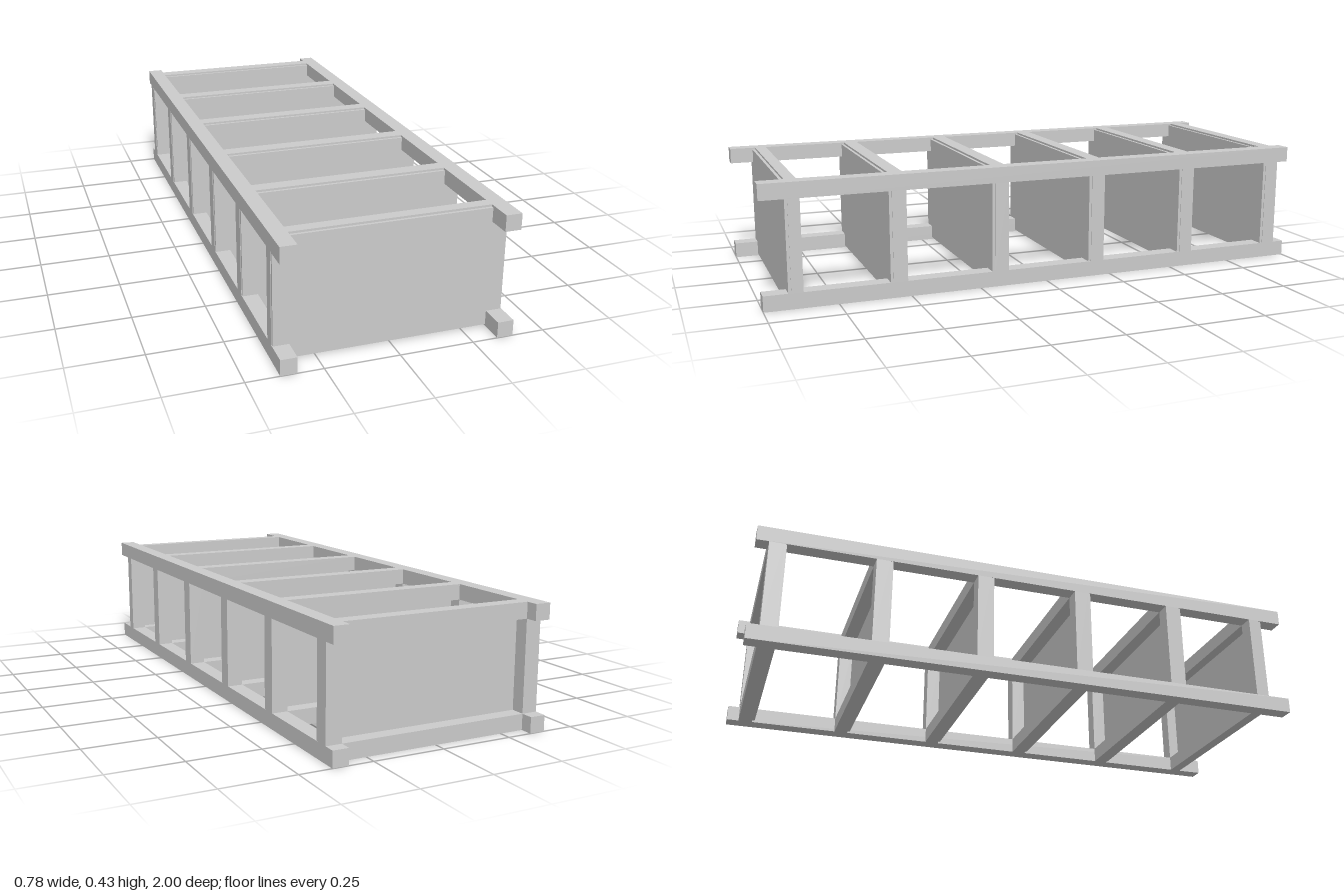
import * as THREE from 'three';

const W = 0.78, H = 0.425, T = 0.055;

export function createModel() {
  const model = new THREE.Group();
  model.name = 'shelfRack';
  const material = new THREE.MeshStandardMaterial({ color: 0xcccccc, flatShading: true });

  function box(parent, name, w, h, d, x, y, z) {
    const mesh = new THREE.Mesh(new THREE.BoxGeometry(w, h, d), material);
    mesh.name = name;
    mesh.position.set(x, y, z);
    parent.add(mesh);
  }

  // four long corner rails
  for (const sx of [-1, 1]) {
    for (const y of [T / 2, H - T / 2]) {
      box(model, 'longRail', T, T, 2, sx * (W - T) / 2, y, 0);
    }
  }

  // six framed shelves: front and back z of each
  const shelves = [
    [0.917, 0.867], [0.573, 0.513], [0.207, 0.146],
    [-0.163, -0.223], [-0.53, -0.59], [-0.897, -0.957],
  ];
  const board = 0.01;
  for (const [front, back] of shelves) {
    const shelf = new THREE.Group();
    shelf.name = 'shelf';
    model.add(shelf);
    const depth = front - board - back;
    const z = back + depth / 2;

    // thin board on the front of the frame
    box(shelf, 'shelfBoard', W - 0.004, H - 0.014, board, 0, H / 2, front - board / 2);
    // cross bars between the rails
    for (const y of [T / 2, H - T / 2]) {
      box(shelf, 'crossBar', W - 2 * T, T, depth, 0, y, z);
    }
    // uprights between lower and upper rails
    for (const sx of [-1, 1]) {
      box(shelf, 'upright', T, H - 2 * T, depth, sx * (W - T) / 2, H / 2, z);
    }
  }
  return model;
}
